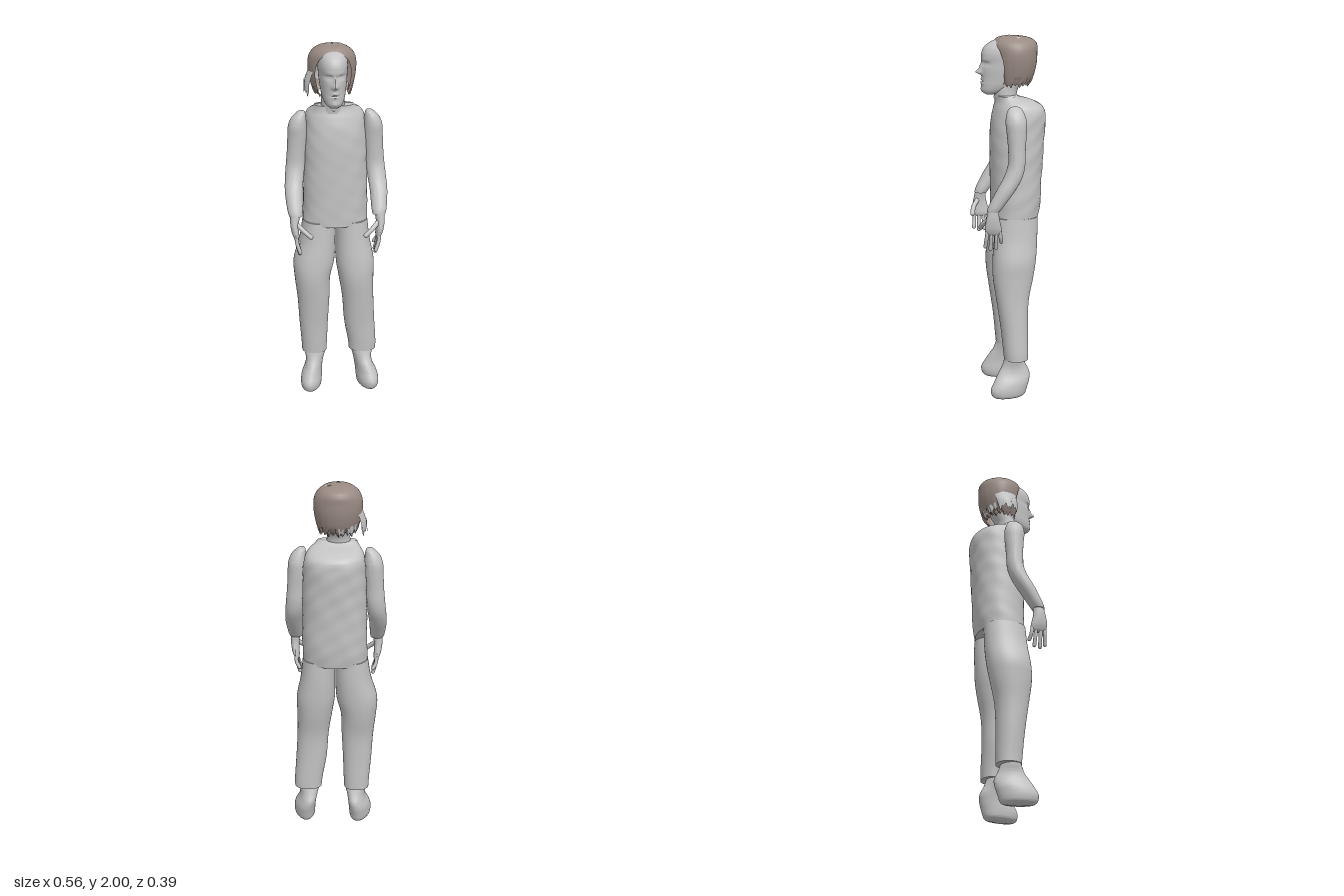
import * as THREE from 'three';
import { toCreasedNormals } from 'three/addons/utils/BufferGeometryUtils.js';

const grey = new THREE.MeshStandardMaterial({ color: 0xc4c4c4, side: THREE.DoubleSide });
grey.name = 'plainGrey';
const brown = new THREE.MeshStandardMaterial({ color: 0x9a8b84, side: THREE.DoubleSide });
brown.name = 'hairBrown';
const TAU = Math.PI * 2;

// Smooth interpolation through a list of rings
function ringAt(rings, u) {
  const n = rings.length - 1;
  const i = Math.min(Math.floor(u), n - 1), f = u - i;
  const [a, b, c, d] = [i - 1, i, i + 1, i + 2].map(k => rings[Math.max(0, Math.min(n, k))]);
  return b.map((_, k) => 0.5 * (2 * b[k] + (c[k] - a[k]) * f
    + (2 * a[k] - 5 * b[k] + 4 * c[k] - d[k]) * f * f
    + (3 * b[k] - a[k] - 3 * c[k] + d[k]) * f * f * f));
}

// Loft of level rings, bottom to top: [y, centreX, centreZ, radiusX, radiusZ, (startAngle, endAngle)]
function loft(name, rings, { seg = 40, sub = 5, e = 2, mat = grey, warp = null } = {}) {
  const pos = [], idx = [], rows = (rings.length - 1) * sub;
  const open = rings[0].length > 5;
  const p = new THREE.Vector3();
  const power = v => Math.sign(v) * Math.abs(v) ** (2 / e);
  for (let r = 0; r <= rows; r++) {
    const [y, cx, cz, rx, rz, t0 = 0, t1 = TAU] = ringAt(rings, r / sub);
    for (let j = 0; j <= seg; j++) {
      const t = !open && j === seg ? 0 : t0 + (t1 - t0) * j / seg;
      p.set(cx + rx * power(Math.sin(t)), y, cz + rz * power(Math.cos(t)));
      if (warp) warp(p, t);
      pos.push(p.x, p.y, p.z);
      if (r < rows && j < seg) {
        const a = r * (seg + 1) + j, d = a + seg + 1;
        idx.push(a, a + 1, d + 1, a, d + 1, d);
      }
    }
  }
  if (!open) {
    const last = rings.length - 1, top = rows * (seg + 1), c = pos.length / 3;
    for (const k of [0, last]) pos.push(rings[k][1], rings[k][0], rings[k][2]);
    for (let j = 0; j < seg; j++) idx.push(c, j + 1, j, c + 1, top + j, top + j + 1);
  }
  const g = new THREE.BufferGeometry();
  g.setAttribute('position', new THREE.Float32BufferAttribute(pos, 3));
  g.setIndex(idx);
  const mesh = new THREE.Mesh(toCreasedNormals(g, 1.0), mat);
  mesh.name = name;
  return mesh;
}

// Rounded tube through points, used for the fingers
function finger(name, points, r) {
  const g = new THREE.Group();
  g.name = name;
  const curve = new THREE.CatmullRomCurve3(points.map(q => new THREE.Vector3(...q)));
  g.add(new THREE.Mesh(new THREE.TubeGeometry(curve, 10, r, 12), grey));
  const tip = new THREE.Mesh(new THREE.SphereGeometry(r, 12, 8), grey);
  tip.position.copy(curve.getPoint(1));
  g.add(tip);
  return g;
}

function ellipsoid(name, position, scale, rotation = [0, 0, 0]) {
  const m = new THREE.Mesh(new THREE.SphereGeometry(1, 20, 14), grey);
  m.name = name;
  m.position.set(...position);
  m.scale.set(...scale);
  m.rotation.set(...rotation);
  return m;
}

function makeHead() {
  const head = new THREE.Group();
  head.name = 'head';
  const X = -0.015;
  // Facial features as soft bumps: [x, y, width, height, depth]
  const bumps = [[0, 1.806, .011, .011, .03], [0, 1.835, .008, .022, .013],
    [0, 1.765, .018, .005, .007], [0, 1.747, .016, .006, .007], [0, 1.756, .022, .003, -.005],
    [0, 1.71, .018, .012, .005]];
  for (const s of [-1, 1]) bumps.push([s * .032, 1.852, .016, .01, -.013],
    [s * .032, 1.851, .009, .006, .007], [s * .03, 1.873, .02, .008, .005],
    [s * .012, 1.799, .006, .006, .008]);
  const skull = [[1.684, .025, .125, .08], [1.70, .045, .145, .02], [1.73, .06, .149, -.05],
    [1.77, .068, .147, -.09], [1.82, .075, .148, -.12], [1.86, .078, .145, -.135], [1.9, .08, .149, -.135],
    [1.94, .074, .132, -.125], [1.97, .056, .09, -.09], [1.988, .02, .03, -.04]]
    .map(([y, rx, front, back]) => [y, X, (front + back) / 2, rx, (front - back) / 2]);
  head.add(loft('face', skull, { seg: 100, sub: 9, e: 2.15, warp: p => {
    if (p.z < 0.06) return;
    for (const [x, y, w, h, d] of bumps)
      p.z += d * Math.exp(-(((p.x - X - x) / w) ** 2 + ((p.y - y) / h) ** 2) / 1.4);
  } }));
  head.add(loft('neck', [[1.64, X, .015, .068, .06], [1.68, X, .018, .064, .062], [1.72, X, .015, .062, .07],
    [1.77, X, -.01, .062, .08]]));
  head.add(ellipsoid('throatKnob', [X, 1.668, .068], [.02, .016, .014]));

  // Cap of hair, open over the face, with a ragged hem
  const hair = [[1.738, -.012, -.02, .095, .085, .8], [1.78, -.014, -.03, .113, .105, .85],
    [1.85, X, -.035, .128, .118, .85], [1.91, X, -.035, .13, .121, .72], [1.95, X, -.033, .118, .122, .5],
    [1.976, X, -.03, .094, .105, .02], [1.992, X, -.02, .06, .07, 0], [2.0, X, -.015, .002, .002, 0]]
    .map(r => [...r, TAU - r[5]]);
  head.add(loft('hair', hair, { seg: 72, mat: brown, warp: (p, t) => {
    if (p.y < 1.77) p.y += .008 * Math.sin(t * 23) + .006 * Math.sin(t * 9);
    const w = 1 + .008 * Math.sin(t * 19) * Math.max(0, 1.97 - p.y) / .2;
    p.x = X + (p.x - X) * w;
    p.z = -.03 + (p.z + .03) * w;
  } }));

  // Loose wisps beside the right cheek and over the nape
  const wisp = (name, t0, t1, rx) => loft(name, [[1.75, X, -.02, rx, .1, t0, t1],
    [1.8, X, -.025, rx - .004, .112, t0, t1], [1.86, X, -.03, rx - .025, .11, t0, t1]],
  { seg: 40, warp: (p, t) => { if (p.y < 1.8) p.y += .012 * Math.sin(t * 31) + .012 * Math.sin(t * 13); } });
  head.add(wisp('sideWisps', 4.1, 5.3, .155), wisp('napeWisps', 3.2, 4.1, .125));

  // Bare scalp patches on the crown
  head.add(ellipsoid('crownPatch', [-.015, 1.996, -.005], [.018, .005, .014]));
  head.add(ellipsoid('frontPatch', [-.006, 1.987, .045], [.022, .005, .016], [.3, 0, 0]));
  head.add(ellipsoid('partingPatch', [.05, 1.984, -.03], [.04, .005, .014], [0, -.8, -.3]));
  return head;
}

function makeArm(s, side) {
  const arm = new THREE.Group();
  arm.name = side + 'Arm';
  const mirror = rings => rings.map(([y, x, ...rest]) => [y, s * x, ...rest]);
  arm.add(loft(side + 'Sleeve', mirror([[1.088, .228, .125, .036, .035], [1.12, .23, .108, .042, .042],
    [1.2, .233, .058, .048, .05], [1.27, .227, .018, .051, .05], [1.34, .219, -.003, .052, .046],
    [1.42, .213, -.005, .051, .047], [1.5, .208, -.005, .052, .053], [1.56, .206, -.003, .05, .057],
    [1.605, .198, 0, .04, .048], [1.635, .186, 0, .022, .032], [1.643, .183, 0, .008, .012]])));
  arm.add(loft(side + 'Palm', mirror([[.952, .223, .122, .008, .036], [.968, .226, .124, .016, .044],
    [1.0, .232, .128, .021, .045], [1.05, .235, .129, .024, .035], [1.1, .23, .124, .027, .029]])));
  // Finger knuckle z, tip z, tip y
  [[.157, .167, .888], [.135, .139, .872], [.112, .107, .878], [.092, .079, .91]].forEach(([z, tz, ty], i) =>
    arm.add(finger(side + 'Finger' + (i + 1), [[s * .228, .985, z], [s * .224, .94, (z + tz) / 2],
      [s * .208, ty, tz]], .0105)));
  arm.add(finger(side + 'Thumb', [[s * .228, 1.05, .14], [s * .185, 1.012, .172], [s * .15, .982, .183]], .013));
  return arm;
}

export function createModel() {
  const model = new THREE.Group();
  model.name = 'standingFigure';
  model.add(makeHead());

  // Shirt with faint wrinkles
  model.add(loft('shirt', [[1.0, 0, -.028, .179, .128], [1.1, .002, -.034, .178, .136],
    [1.3, .003, -.038, .176, .142], [1.45, .004, -.043, .173, .147], [1.55, .004, -.05, .168, .146],
    [1.61, .002, -.052, .16, .135], [1.642, 0, -.035, .142, .108], [1.665, -.005, 0, .118, .068],
    [1.68, -.008, .012, .108, .055]], { seg: 64, sub: 8, e: 2.3, warp: p => {
    const fade = Math.min(1, Math.max(0, (1.66 - p.y) * 10));
    const k = 1 + fade * .012 * Math.sin(p.x * 41 + p.y * 17) * Math.sin(p.y * 47 + p.z * 31);
    p.x *= k;
    p.z *= k;
  } }));

  // Trouser legs; the stance is slightly uneven
  const legs = {
    right: [[.215, -.121, -.012, .07, .067], [.27, -.121, -.01, .073, .07], [.4, -.124, -.004, .081, .076],
      [.55, -.125, .003, .09, .09], [.68, -.13, -.002, .1, .112], [.78, -.12, -.01, .114, .12],
      [.9, -.1, -.02, .1, .119], [1.02, -.092, -.026, .088, .116]],
    left: [[.215, .157, -.012, .077, .067], [.27, .154, -.01, .08, .07], [.4, .138, -.004, .087, .076],
      [.55, .128, .003, .089, .09], [.68, .117, -.002, .099, .112], [.78, .11, -.01, .107, .12],
      [.9, .098, -.02, .096, .119], [1.02, .092, -.026, .088, .116]]
  };
  for (const [side, s, footX, ankleX] of [['right', -1, .142, .122], ['left', 1, .182, .157]]) {
    model.add(loft(side + 'TrouserLeg', legs[side], { e: 2.2 }));
    // Boot, toes turned slightly outward
    const boot = [[0, 0, .032, .045, .085], [.015, 0, .034, .056, .098], [.05, 0, .031, .06, .106],
      [.09, .15, .015, .057, .102], [.13, .6, .003, .05, .092], [.17, .9, 0, .051, .07],
      [.21, 1, 0, .06, .055], [.235, 1, 0, .058, .052]]
      .map(([y, f, ...rest]) => [y, s * (footX + (ankleX - footX) * f), ...rest]);
    model.add(loft(side + 'Boot', boot, { warp: p => { p.x += s * .15 * (p.z - .03); } }));
    model.add(makeArm(s, side));
  }
  return model;
}
